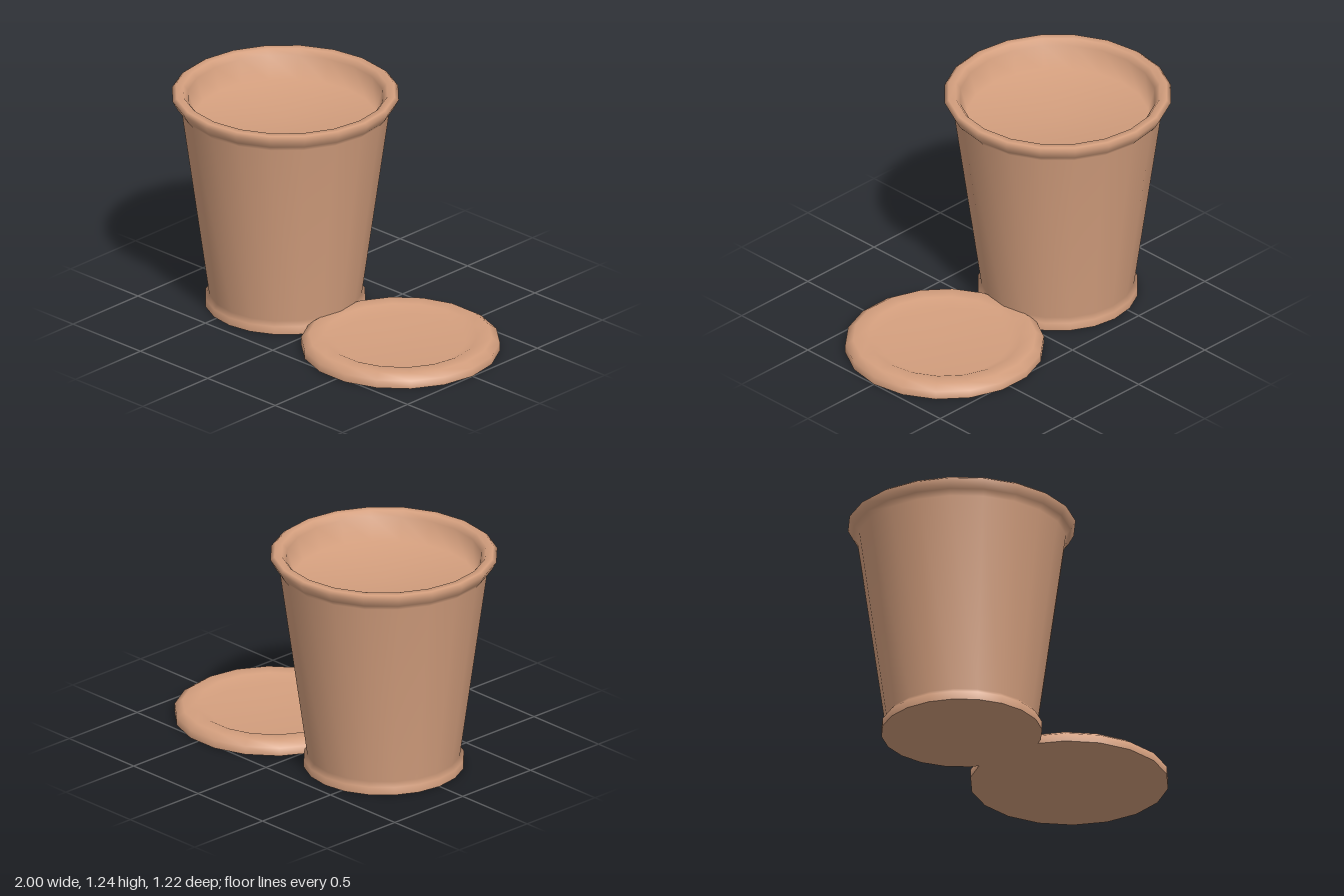
import * as THREE from 'three';

const clay = new THREE.MeshStandardMaterial({ color: 0xd49f7e });
clay.name = 'terracotta';

// Smooth turned body from [radius, height] points, with a flat base disc
function turned(name, profile, sides) {
  const group = new THREE.Group();
  group.name = name;
  const points = profile.map(([r, y]) => new THREE.Vector2(r, y));
  const body = new THREE.Mesh(new THREE.LatheGeometry(points, sides, Math.PI / 2), clay);
  body.name = name + 'Body';
  const base = new THREE.Mesh(new THREE.CircleGeometry(profile[0][0], sides), clay);
  base.rotation.x = Math.PI / 2;
  base.name = name + 'Base';
  group.add(body, base);
  return group;
}

export function createModel() {
  const model = new THREE.Group();
  model.name = 'potAndSaucer';

  // Tapered pot: foot, outer wall, flared rim, short inner wall, filled top
  const pot = turned('pot', [
    [0.432, 0], [0.432, 0.045], [0.412, 0.07],
    [0.56, 1.14], [0.585, 1.17], [0.612, 1.22], [0.59, 1.236],
    [0.55, 1.236], [0.525, 1.205],
    [0.49, 1.08], [0, 1.08],
  ], 20);
  pot.position.x = -0.388;

  // Shallow saucer: broad lip around a slightly sunken dish
  const saucer = turned('saucer', [
    [0.533, 0], [0.533, 0.045], [0.49, 0.073],
    [0.41, 0.071], [0.35, 0.042], [0, 0.04],
  ], 18);
  saucer.position.x = 0.467;

  model.add(pot, saucer);
  return model;
}
